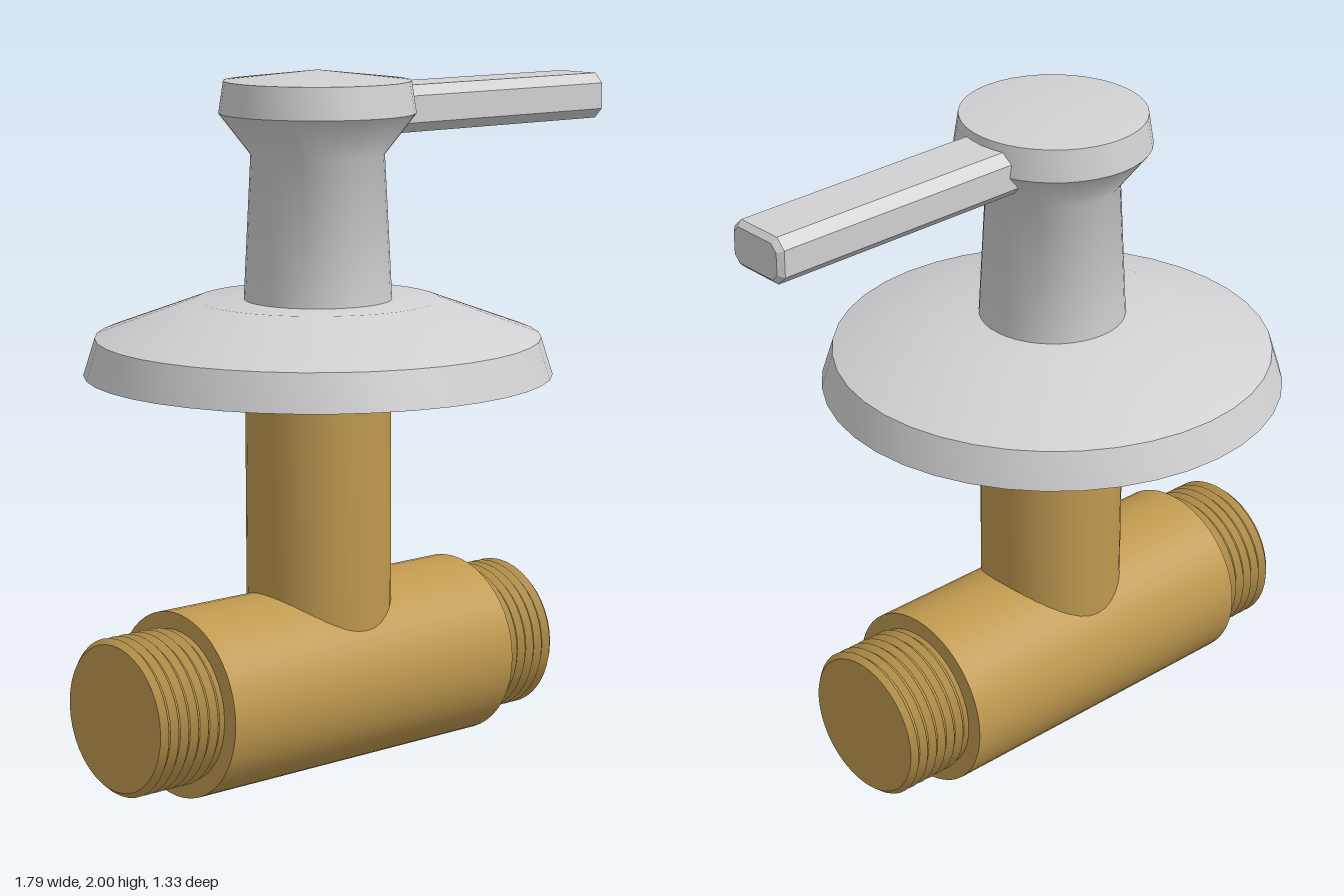
import * as THREE from 'three';
import { toCreasedNormals } from 'three/addons/utils/BufferGeometryUtils.js';

const AXIS_X = -0.16; // vertical axis of the valve
const PIPE_Y = 0.264; // height of the horizontal pipe

const brass = new THREE.MeshStandardMaterial({ name: 'brass', color: 0xbf994f });
const chrome = new THREE.MeshStandardMaterial({ name: 'chrome', color: 0xd1d1d3 });

// Turned part: profile of [radius, height], listed bottom to top
function turned(profile, segments = 40) {
  const points = profile.map(([r, y]) => new THREE.Vector2(r, y));
  return toCreasedNormals(new THREE.LatheGeometry(points, segments), 0.75);
}

function part(group, name, geometry, material) {
  const mesh = new THREE.Mesh(geometry, material);
  mesh.name = name;
  group.add(mesh);
  return mesh;
}

// Threaded pipe end running along +x from x0 to x1
function threadGeometry(x0, x1, turns = 7) {
  const pitch = (x1 - x0) / turns;
  const profile = [[0, x0], [0.207, x0]];
  for (let i = 0; i < turns; i++) {
    profile.push([0.222, x0 + (i + 0.5) * pitch], [0.207, x0 + (i + 1) * pitch]);
  }
  profile.push([0, x1]);
  return turned(profile).rotateZ(-Math.PI / 2);
}

// Flat bar with chamfered long edges and a chamfered tip
function leverGeometry(x0, x1) {
  const b = 0.015, w = 0.102 - b, h = 0.067 - b, c = 0.02;
  const shape = new THREE.Shape([
    [-w + c, -h], [w - c, -h], [w, -h + c], [w, h - c],
    [w - c, h], [-w + c, h], [-w, h - c], [-w, -h + c],
  ].map(([x, y]) => new THREE.Vector2(x, y)));
  const geometry = new THREE.ExtrudeGeometry(shape, {
    depth: x1 - x0 - 2 * b,
    bevelEnabled: true, bevelThickness: b, bevelSize: b, bevelSegments: 1,
  });
  geometry.translate(0, 0, x0 + b).rotateY(Math.PI / 2);
  return toCreasedNormals(geometry, 0.5);
}

export function createModel() {
  const model = new THREE.Group();
  model.name = 'wallValve';

  // Horizontal pipe body with a threaded end on each side
  const pipe = new THREE.Group();
  pipe.name = 'pipe';
  pipe.position.set(AXIS_X, PIPE_Y, 0);
  model.add(pipe);
  const body = turned([[0, -0.524], [0.264, -0.524], [0.264, 0.524], [0, 0.524]], 48);
  part(pipe, 'pipeBody', body.rotateZ(-Math.PI / 2), brass);
  for (const [name, turn] of [['leftThread', 0], ['rightThread', Math.PI]]) {
    part(pipe, name, threadGeometry(0.5, 0.737), brass).rotation.y = turn;
  }

  // Vertical parts share one axis
  const column = new THREE.Group();
  column.name = 'column';
  column.position.x = AXIS_X;
  model.add(column);
  part(column, 'stem', turned([[0, PIPE_Y], [0.208, PIPE_Y], [0.208, 1.2], [0, 1.2]]), brass);

  // Wall flange with a sloped rim
  part(column, 'flange', turned([
    [0, 1.145], [0.665, 1.145], [0.632, 1.25], [0.345, 1.356], [0, 1.356],
  ]), chrome);

  // Handle neck flaring into a head with a shallow cone on top
  part(column, 'handleHead', turned([
    [0, 1.34], [0.211, 1.34], [0.189, 1.765], [0.278, 1.88], [0.264, 1.97], [0, 2],
  ]), chrome);

  // Lever pointing to the side
  part(model, 'lever', leverGeometry(-0.02, 0.89), chrome).position.y = 1.88;

  return model;
}
